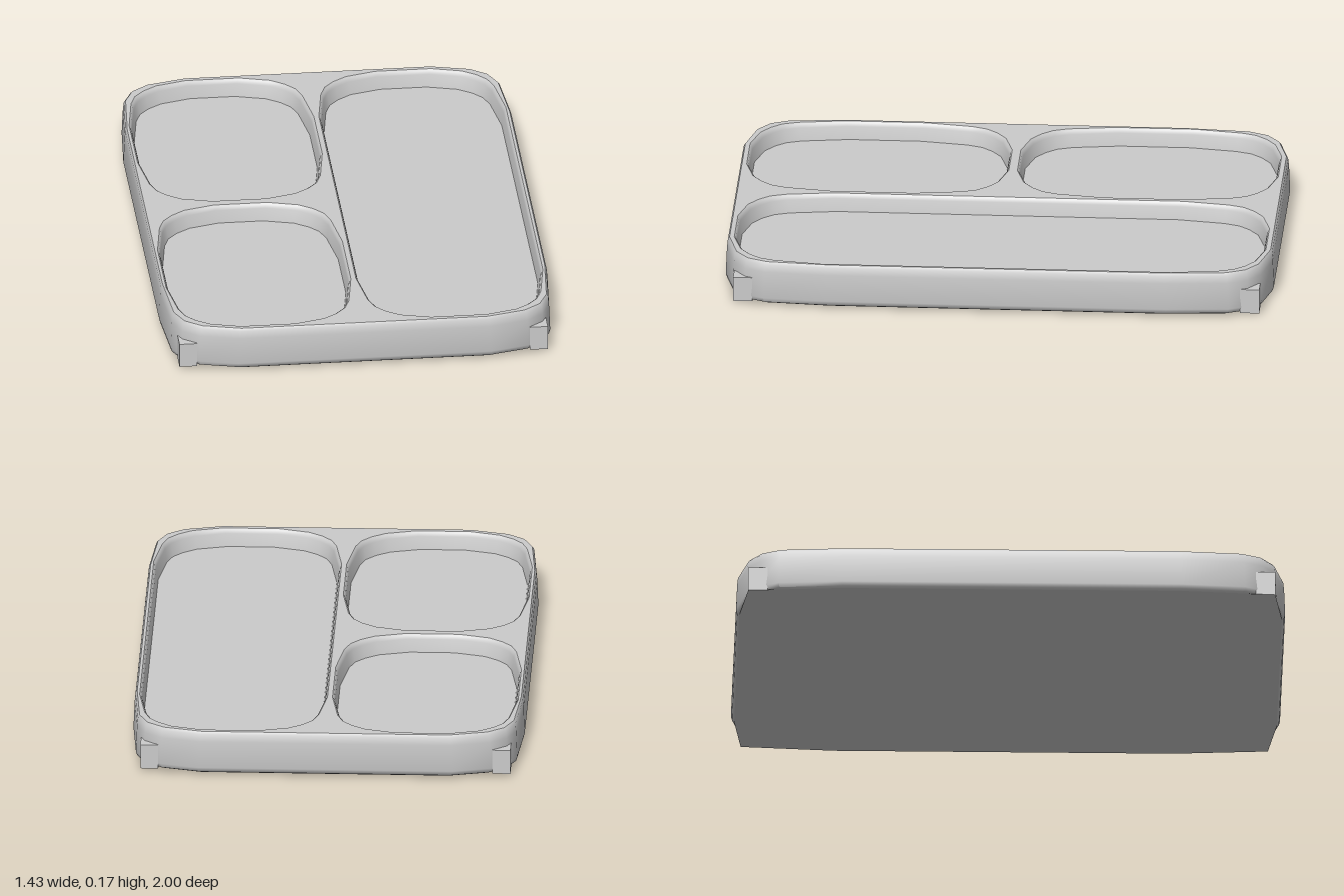
import * as THREE from 'three';
import { toCreasedNormals } from 'three/addons/utils/BufferGeometryUtils.js';

const HALF_X = 0.713, HALF_Z = 1.0, TOP = 0.168, FLOOR = 0.102, BASE = 0.008;

// Corner curves as [distance from x side, distance from z side]
const OUTER_CORNER = [[0, 0.38], [0.018, 0.15], [0.05, 0.08], [0.11, 0.035], [0.25, 0]];
const INNER_CORNER = [[0, 0.33], [0.025, 0.16], [0.045, 0.105], [0.08, 0.065], [0.13, 0.03], [0.24, 0]];
const BASE_CORNER = [[0.012, 0.38], [0.038, 0.04], [0.25, 0.012]];

// Closed rounded outline in x, z, running from +x towards +z
function outline([x0, x1, z0, z1], corner, grow = 0) {
  const cx = (x0 + x1) / 2, cz = (z0 + z1) / 2;
  const hx = (x1 - x0) / 2 + grow, hz = (z1 - z0) / 2 + grow;
  const back = [...corner].reverse();
  const points = [];
  for (const [sx, sz, list] of [[1, 1, corner], [-1, 1, back], [-1, -1, corner], [1, -1, back]]) {
    for (const [a, b] of list) points.push([cx + sx * (hx - a), cz + sz * (hz - b)]);
  }
  return points;
}

// Wall through a stack of outlines; faces outward when levels rise, inward when they fall
function loft(rect, corner, levels) {
  const position = [], index = [];
  levels.forEach(([grow, y], j) => {
    const ring = outline(rect, corner, grow);
    const n = ring.length;
    ring.forEach(([x, z], i) => {
      position.push(x, y, z);
      if (j === levels.length - 1) return;
      const a = j * n + i, b = j * n + (i + 1) % n;
      index.push(a, a + n, b, b, a + n, b + n);
    });
  });
  const geometry = new THREE.BufferGeometry();
  geometry.setAttribute('position', new THREE.Float32BufferAttribute(position, 3));
  geometry.setIndex(index);
  return toCreasedNormals(geometry, 0.9);
}

// Flat horizontal face, optionally with holes
function plate(points, y, holes = [], down = false) {
  const s = down ? 1 : -1;
  const toVectors = (list) => list.map(([x, z]) => new THREE.Vector2(x, s * z));
  const shape = new THREE.Shape(toVectors(points));
  holes.forEach((hole) => shape.holes.push(new THREE.Path(toVectors(hole))));
  return new THREE.ShapeGeometry(shape).rotateX(s * Math.PI / 2).translate(0, y, 0);
}

export function createModel() {
  const tray = new THREE.Group();
  tray.name = 'dividedTray';
  const material = new THREE.MeshStandardMaterial({ color: 0xcccccc });
  const add = (name, geometry) => {
    const mesh = new THREE.Mesh(geometry, material);
    mesh.name = name;
    tray.add(mesh);
    return mesh;
  };

  // Outer shell with a softened foot and lip
  const body = [-HALF_X, HALF_X, -HALF_Z, HALF_Z];
  const shell = [[-0.014, BASE], [-0.004, 0.014], [0, 0.03],
    [-0.004, 0.13], [-0.007, 0.158], [-0.013, TOP]];
  add('outerWall', loft(body, OUTER_CORNER, shell));

  // Slightly bulged underside reaching out to the corner feet
  add('undersideEdge', loft(body, BASE_CORNER, [[-0.12, 0], [0, BASE]]));
  add('underside', plate(outline(body, BASE_CORNER, -0.12), 0, [], true));

  // Compartments: one long, two short
  const compartments = {
    longCompartment: [0.022, 0.673, -0.953, 0.953],
    backCompartment: [-0.673, -0.03, -0.953, -0.035],
    frontCompartment: [-0.673, -0.03, 0.03, 0.953],
  };
  const cavity = [[0.017, TOP], [0.012, 0.163], [0.008, 0.15], [0, FLOOR]];
  const openings = [];
  for (const [name, rect] of Object.entries(compartments)) {
    openings.push(outline(rect, INNER_CORNER, cavity[0][0]));
    add(name + 'Wall', loft(rect, INNER_CORNER, cavity));
    add(name + 'Floor', plate(outline(rect, INNER_CORNER), FLOOR));
  }

  // Rim and dividers
  add('rimAndDividers', plate(outline(body, OUTER_CORNER, -0.013), TOP, openings));

  // Square feet at the four corners
  const foot = new THREE.BoxGeometry(0.065, 0.1 - BASE, 0.07);
  for (const sx of [-1, 1]) {
    for (const sz of [-1, 1]) {
      add('cornerFoot', foot).position.set(sx * 0.642, (0.1 + BASE) / 2, sz * 0.925);
    }
  }
  return tray;
}
